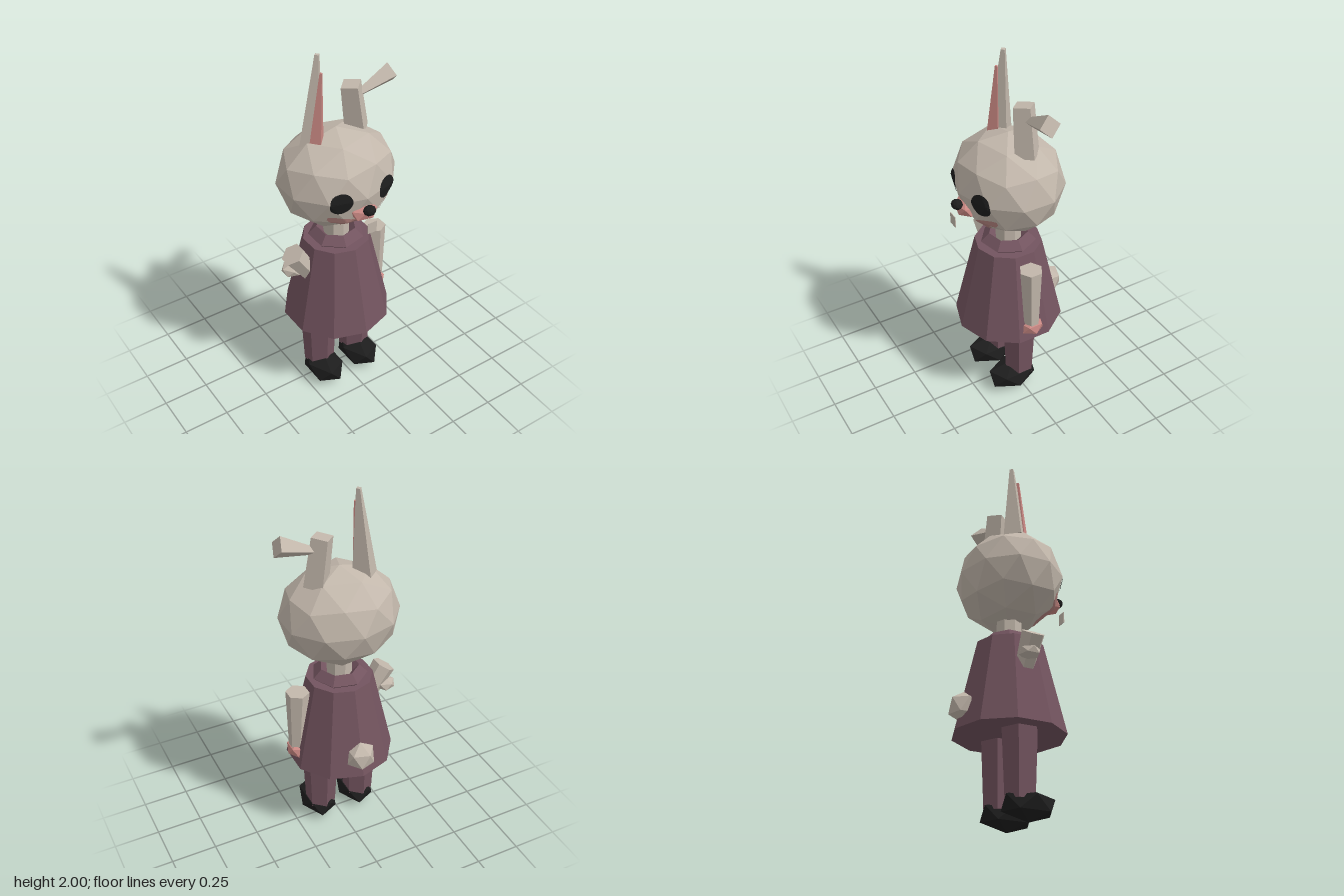
import * as THREE from 'three';

const MID = -0.02; // x of the body's centre line

const material = (name, color) => {
  const m = new THREE.MeshStandardMaterial({ color });
  m.name = name;
  return m;
};

// Give every triangle its own normal for the faceted look
function faceted(geometry) {
  const g = geometry.index ? geometry.toNonIndexed() : geometry;
  g.computeVertexNormals();
  return g;
}

// Icosphere standing on one of its points, stretched to three radii
function ball(rx, ry, rz, x, y, z, detail = 0) {
  const tilt = Math.atan(2 / (1 + Math.sqrt(5)));
  return faceted(new THREE.IcosahedronGeometry(1, detail)
    .rotateZ(tilt).scale(rx, ry, rz).translate(x, y, z));
}

// Tapered prism running from point a to point b
function prism(ra, rb, sides, a, b) {
  const from = new THREE.Vector3(...a);
  const dir = new THREE.Vector3(...b).sub(from);
  const g = new THREE.CylinderGeometry(rb, ra, dir.length(), sides);
  g.rotateZ(Math.atan2(-dir.x, dir.y));
  g.translate(from.x + dir.x / 2, from.y + dir.y / 2, from.z + dir.z / 2);
  return faceted(g);
}

// Lay a flat patch on the front of a convex faceted shape
function drape(patch, solid) {
  const p = solid.attributes.position;
  const tri = new THREE.Triangle();
  const planes = [];
  for (let i = 0; i < p.count; i += 3) {
    tri.setFromAttributeAndIndices(p, i, i + 1, i + 2);
    const plane = tri.getPlane(new THREE.Plane());
    if (plane.normal.z > 0.05) planes.push(plane);
  }
  const q = patch.attributes.position;
  for (let i = 0; i < q.count; i++) {
    const x = q.getX(i), y = q.getY(i);
    const depths = planes.map(({ normal: n, constant }) => -(constant + n.x * x + n.y * y) / n.z);
    q.setZ(i, Math.min(...depths) + 0.005);
  }
  return faceted(patch);
}

// Value at x along a list of [x, value] pairs
function along(points, x) {
  for (let i = 1; i < points.length; i++) {
    const [x0, v0] = points[i - 1], [x1, v1] = points[i];
    if (x <= x1) return v0 + (v1 - v0) * (x - x0) / (x1 - x0);
  }
  return points[points.length - 1][1];
}

export function createModel() {
  const model = new THREE.Group();
  model.name = 'rabbit';
  const fur = material('fur', 0xc2b7ab);
  const cloth = material('cloth', 0x73545f);
  const pink = material('pink', 0xc98883);
  const blushPink = material('blush', 0xb5847f);
  const black = material('black', 0x1d1d1d);

  const add = (name, geometry, mat) => {
    const mesh = new THREE.Mesh(geometry, mat);
    mesh.name = name;
    model.add(mesh);
  };

  // Head and neck
  const head = ball(0.32, 0.27, 0.28, MID, 1.33, 0, 1);
  add('head', head, fur);
  add('neck', prism(0.07, 0.07, 8, [MID, 0.96, 0], [MID, 1.1, 0]), fur);

  // Upright ear with pink lining
  add('rightEar', prism(0.07, 0.014, 4, [-0.147, 1.53, -0.025], [-0.107, 2, -0.025]), fur);
  add('rightEarLining', prism(0.04, 0.008, 4, [-0.14, 1.56, 0.012], [-0.11, 1.92, 0.012]), pink);

  // Folded ear in two pieces
  add('leftEarBase', prism(0.07, 0.06, 4, [0.12, 1.53, -0.025], [0.084, 1.79, -0.025]), fur);
  add('leftEarTip', prism(0.02, 0.056, 4, [0.13, 1.725, -0.025], [0.318, 1.79, -0.025]), fur);

  // Eyes
  for (const side of [-1, 1]) {
    const disc = new THREE.RingGeometry(0.0001, 1, 24, 6);
    disc.scale(0.057, 0.06, 1).translate(-0.014 + side * 0.136, 1.325, 0);
    add(side < 0 ? 'rightEye' : 'leftEye', drape(disc, head), black);
  }

  // Blush that curves round the mouth from cheek to cheek
  const top = [[0, 1.205], [0.06, 1.205], [0.1, 1.22], [0.17, 1.24], [0.19, 1.24]];
  const bottom = [[0, 1.11], [0.05, 1.114], [0.1, 1.14], [0.122, 1.18], [0.17, 1.195], [0.19, 1.22]];
  const blush = new THREE.PlaneGeometry(0.38, 1, 48, 8);
  const bp = blush.attributes.position;
  for (let i = 0; i < bp.count; i++) {
    const x = bp.getX(i), low = along(bottom, Math.abs(x)), high = along(top, Math.abs(x));
    bp.setXY(i, x - 0.01, low + (high - low) * (bp.getY(i) + 0.5));
  }
  add('blush', drape(blush, head), blushPink);

  // Muzzle, nose and tooth
  add('muzzle', ball(0.08, 0.045, 0.055, MID, 1.24, 0.25), pink);
  add('nose', ball(0.034, 0.027, 0.03, MID, 1.27, 0.295, 1), black);
  add('tooth', faceted(new THREE.BoxGeometry(0.052, 0.062, 0.004).translate(MID, 1.184, 0.32)), fur);

  // Dress and collar
  add('dress', prism(0.295, 0.18, 10, [MID, 0.455, 0], [MID, 0.947, 0]), cloth);
  const collar = new THREE.TorusGeometry(0.105, 0.045, 4, 7);
  collar.rotateX(-Math.PI / 2).translate(MID, 0.958, 0);
  add('collar', faceted(collar), cloth);

  // Legs and shoes
  for (const side of [-1, 1]) {
    const word = side < 0 ? 'right' : 'left';
    const x = MID + side * 0.118;
    add(word + 'Leg', prism(0.083, 0.1, 6, [x, 0.1, 0], [x, 0.47, 0]), cloth);
    add(word + 'Shoe', ball(0.106, 0.082, 0.155, x, 0.084, 0.043), black);
  }

  // Hanging left arm
  add('leftArm', prism(0.044, 0.064, 6, [0.234, 0.55, 0.005], [0.222, 0.9, 0.005]), fur);
  add('leftHand', ball(0.062, 0.052, 0.073, 0.232, 0.528, 0.003), pink);

  // Raised right arm
  add('rightArm', prism(0.045, 0.064, 6, [-0.13, 0.67, 0], [-0.291, 0.92, 0]), fur);
  add('rightHand', ball(0.06, 0.036, 0.06, -0.288, 0.81, -0.02), fur);

  // Tail
  add('tail', ball(0.085, 0.085, 0.085, MID, 0.57, -0.25), fur);

  return model;
}
